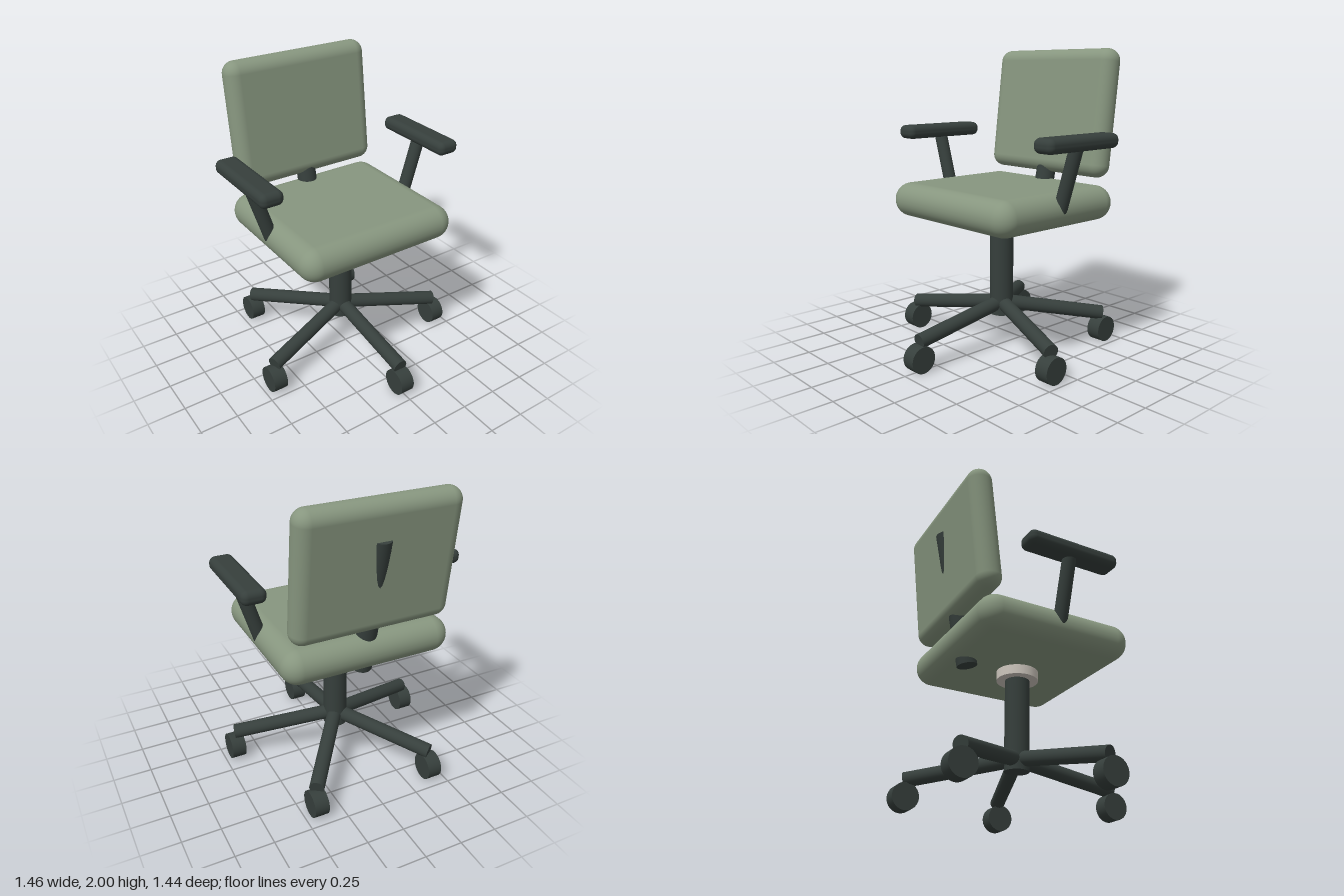
import * as THREE from 'three';
import { RoundedBoxGeometry } from 'three/addons/geometries/RoundedBoxGeometry.js';

const AXIS_Z = -0.065; // the seat, column and arms are centred on this z

export function createModel() {
  const chair = new THREE.Group();
  chair.name = 'officeChair';

  const fabric = new THREE.MeshStandardMaterial({ color: 0x87967f });
  const dark = new THREE.MeshStandardMaterial({ color: 0x363f3c });
  const pale = new THREE.MeshStandardMaterial({ color: 0xcdc6bd });

  const add = (name, geometry, material, x, y, z) => {
    const mesh = new THREE.Mesh(geometry, material);
    mesh.name = name;
    mesh.position.set(x, y, z);
    chair.add(mesh);
    return mesh;
  };

  // Round bar between two points
  const bar = (name, from, to, radius, material) => {
    const a = new THREE.Vector3(...from);
    const b = new THREE.Vector3(...to);
    const dir = b.clone().sub(a);
    const mid = a.clone().add(b).multiplyScalar(0.5);
    const mesh = add(name, new THREE.CylinderGeometry(radius, radius, dir.length(), 32), material, mid.x, mid.y, mid.z);
    mesh.quaternion.setFromUnitVectors(new THREE.Vector3(0, 1, 0), dir.normalize());
    return mesh;
  };

  // Cushions
  add('seat', new RoundedBoxGeometry(1.132, 0.228, 1.03, 8, 0.113), fabric, 0, 1.004, AXIS_Z);
  const back = add('backrest', new RoundedBoxGeometry(1.04, 0.842, 0.166, 8, 0.082), fabric, 0, 1.582, -0.55);
  back.rotation.x = -0.12;

  // Leaning post that carries the backrest
  bar('backPost', [0, 0.858, -0.425], [0, 1.768, -0.615], 0.066, dark);

  // Column and the collar under the seat
  bar('column', [0, 0.225, AXIS_Z], [0, 0.9, AXIS_Z], 0.079, dark);
  bar('collar', [0, 0.828, AXIS_Z], [0, 0.93, AXIS_Z], 0.135, pale);

  // Arms, splayed outwards
  for (const [side, s] of [['left', 1], ['right', -1]]) {
    bar(side + 'ArmPost', [s * 0.515, 0.98, AXIS_Z], [s * 0.654, 1.43, AXIS_Z], 0.044, dark);
    add(side + 'Armrest', new RoundedBoxGeometry(0.155, 0.093, 0.625, 6, 0.04), dark, s * 0.654, 1.437, AXIS_Z);
  }

  // Five sloping legs, each with a wheel that rolls front to back
  const wheel = new THREE.CylinderGeometry(0.087, 0.087, 0.096, 32).rotateZ(Math.PI / 2);
  for (let i = 0; i < 5; i++) {
    const angle = (i * Math.PI * 2) / 5;
    const x = Math.sin(angle) * 0.702;
    const z = AXIS_Z + Math.cos(angle) * 0.702;
    bar('leg' + (i + 1), [0, 0.308, AXIS_Z], [x, 0.197, z], 0.048, dark);
    add('wheel' + (i + 1), wheel, dark, x, 0.087, z);
  }

  return chair;
}
